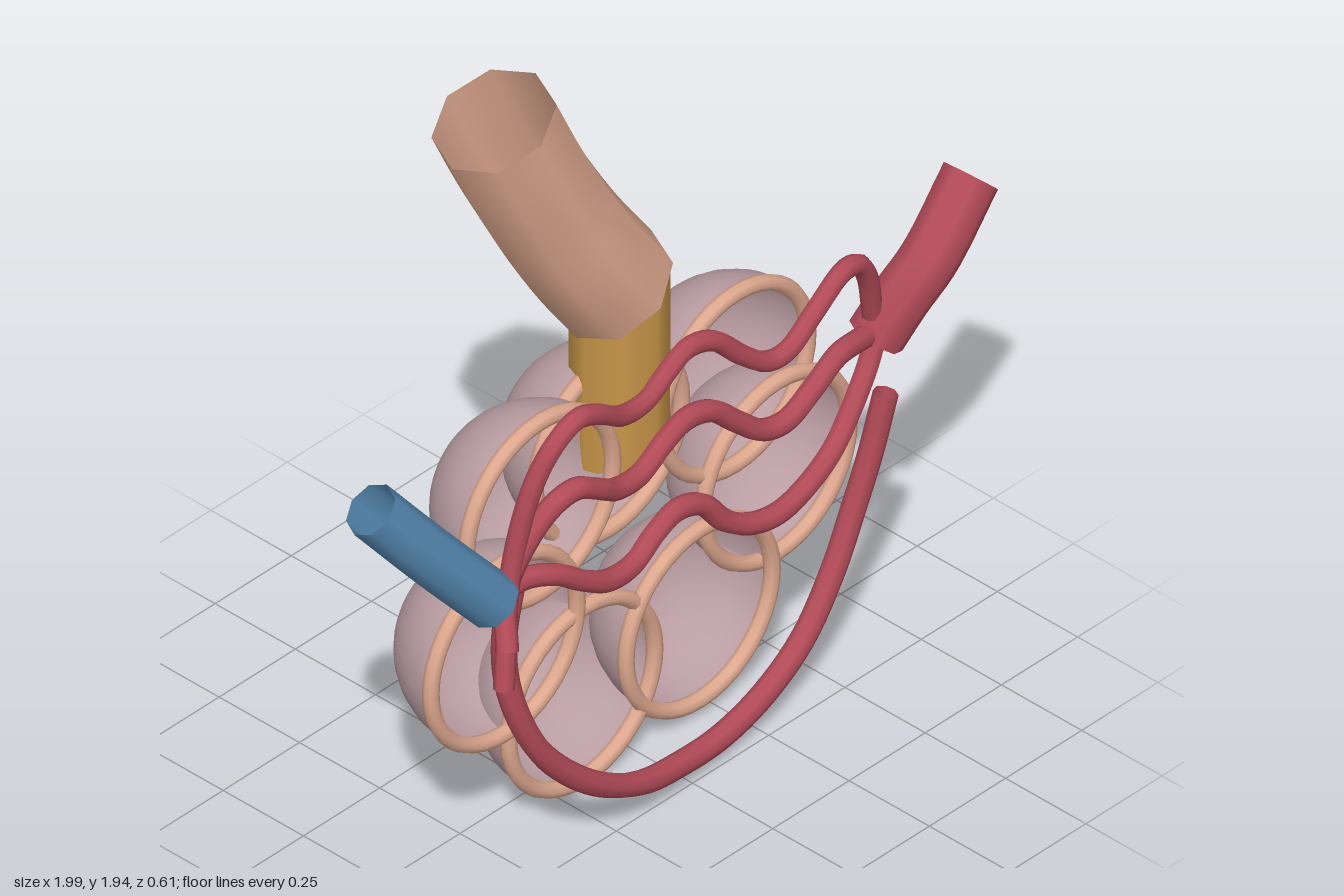
import * as THREE from 'three';

const mat = (name, color, side = THREE.DoubleSide) => {
  const m = new THREE.MeshStandardMaterial({ color, side });
  m.name = name;
  return m;
};

export function createModel() {
  const group = new THREE.Group();
  const peach = mat('peach airway', 0xdfa98f);
  const gold = mat('golden duct', 0xcf9b4b);
  const mauve = mat('mauve sac', 0xb99da2);
  const red = mat('red vessel', 0xb34b58);
  const blue = mat('blue vessel', 0x5588b0);

  const add = (name, geometry, material, parent = group) => {
    const mesh = new THREE.Mesh(geometry, material);
    mesh.name = name;
    parent.add(mesh);
    return mesh;
  };
  // Open tube through a few points
  const tube = (name, points, radius, material, segments = 16, sides = 8) => {
    const curve = new THREE.CatmullRomCurve3(points.map(p => new THREE.Vector3(...p)));
    return add(name, new THREE.TubeGeometry(curve, segments, radius, sides), material);
  };

  // Air sacs: hollow half spheres opening to the front, each with a rim
  const bowl = new THREE.SphereGeometry(0.25, 32, 14, 0, Math.PI * 2, 0, Math.PI / 2);
  bowl.rotateX(-Math.PI / 2);
  const rim = new THREE.TorusGeometry(0.24, 0.02, 8, 40);
  const sacs = [
    [-0.27, 0.81, 0.03], [0.38, 0.815, 0.02], [0.05, 0.77, -0.06], [-0.44, 0.53, 0.08],
    [0.5, 0.51, 0.035], [-0.18, 0.26, 0.075], [0.2, 0.28, 0.08],
  ];
  sacs.forEach((position, i) => {
    const sac = new THREE.Group();
    sac.name = `airSac${i + 1}`;
    sac.position.set(...position);
    add('sacWall', bowl, mauve, sac);
    add('sacRim', rim, peach, sac);
    group.add(sac);
  });

  // Airway and the duct below it
  tube('airway', [[-0.325, 1.88, -0.06], [-0.255, 1.725, -0.05], [-0.17, 1.56, -0.04],
    [-0.08, 1.405, -0.025], [0.02, 1.26, -0.015]], 0.15, peach);
  tube('duct', [[0.04, 1.28, -0.015], [0.055, 1.02, -0.03], [0.07, 0.76, -0.045]], 0.115, gold);

  // Large vessels
  tube('blueVessel', [[-0.94, 1.22, 0.14], [-0.79, 1.03, 0.19], [-0.635, 0.845, 0.235]], 0.068, blue);
  tube('redVessel', [[0.945, 1.185, 0.22], [0.8, 1.04, 0.23], [0.73, 0.95, 0.205], [0.675, 0.86, 0.18]],
    0.07, red);

  // Wavy capillaries
  tube('upperCapillary', [
    [-0.64, 0.62, 0.27], [-0.58, 0.9, 0.235], [-0.525, 1.13, 0.255], [-0.47, 1.23, 0.275], [-0.41, 1.262, 0.28],
    [-0.34, 1.235, 0.275], [-0.24, 1.17, 0.26], [-0.15, 1.16, 0.25], [-0.07, 1.185, 0.235], [0.01, 1.207, 0.225],
    [0.09, 1.185, 0.225], [0.18, 1.1, 0.235], [0.25, 1.05, 0.245], [0.31, 1.05, 0.25], [0.41, 1.1, 0.24],
    [0.52, 1.148, 0.225], [0.58, 1.13, 0.215], [0.62, 1.07, 0.205], [0.65, 0.97, 0.19], [0.67, 0.88, 0.18],
  ], 0.025, red, 96);
  tube('middleCapillary', [
    [-0.64, 0.73, 0.28], [-0.59, 0.85, 0.23], [-0.525, 0.97, 0.24], [-0.46, 1.035, 0.255], [-0.4, 1.052, 0.265],
    [-0.33, 1.015, 0.265], [-0.26, 0.97, 0.255], [-0.17, 0.957, 0.245], [-0.07, 0.99, 0.23], [0.01, 1.005, 0.22],
    [0.09, 0.985, 0.22], [0.17, 0.915, 0.23], [0.24, 0.86, 0.24], [0.31, 0.85, 0.245], [0.41, 0.882, 0.235],
    [0.505, 0.915, 0.22], [0.58, 0.905, 0.205], [0.67, 0.88, 0.185],
  ], 0.027, red, 96);
  tube('lowerCapillary', [
    [-0.63, 0.835, 0.23], [-0.54, 0.85, 0.225], [-0.445, 0.825, 0.245], [-0.365, 0.77, 0.255], [-0.285, 0.727, 0.255],
    [-0.19, 0.717, 0.245], [-0.1, 0.75, 0.23], [-0.02, 0.765, 0.22], [0.06, 0.738, 0.22], [0.125, 0.663, 0.23],
    [0.195, 0.62, 0.24], [0.28, 0.604, 0.245], [0.38, 0.615, 0.235], [0.49, 0.658, 0.22], [0.57, 0.727, 0.205],
    [0.64, 0.807, 0.19], [0.68, 0.88, 0.18],
  ], 0.027, red, 96);

  // Long loop hanging around the lower sacs
  tube('lowerLoop', [
    [-0.535, 0.84, 0.2], [-0.57, 0.7, 0.205], [-0.575, 0.59, 0.215], [-0.545, 0.46, 0.23], [-0.475, 0.325, 0.245],
    [-0.34, 0.19, 0.26], [-0.18, 0.1, 0.255], [-0.02, 0.06, 0.235], [0.125, 0.055, 0.225], [0.275, 0.09, 0.215],
    [0.41, 0.165, 0.205], [0.515, 0.3, 0.2], [0.58, 0.435, 0.2], [0.625, 0.57, 0.21], [0.66, 0.73, 0.225],
  ], 0.03, red, 72);

  return group;
}
